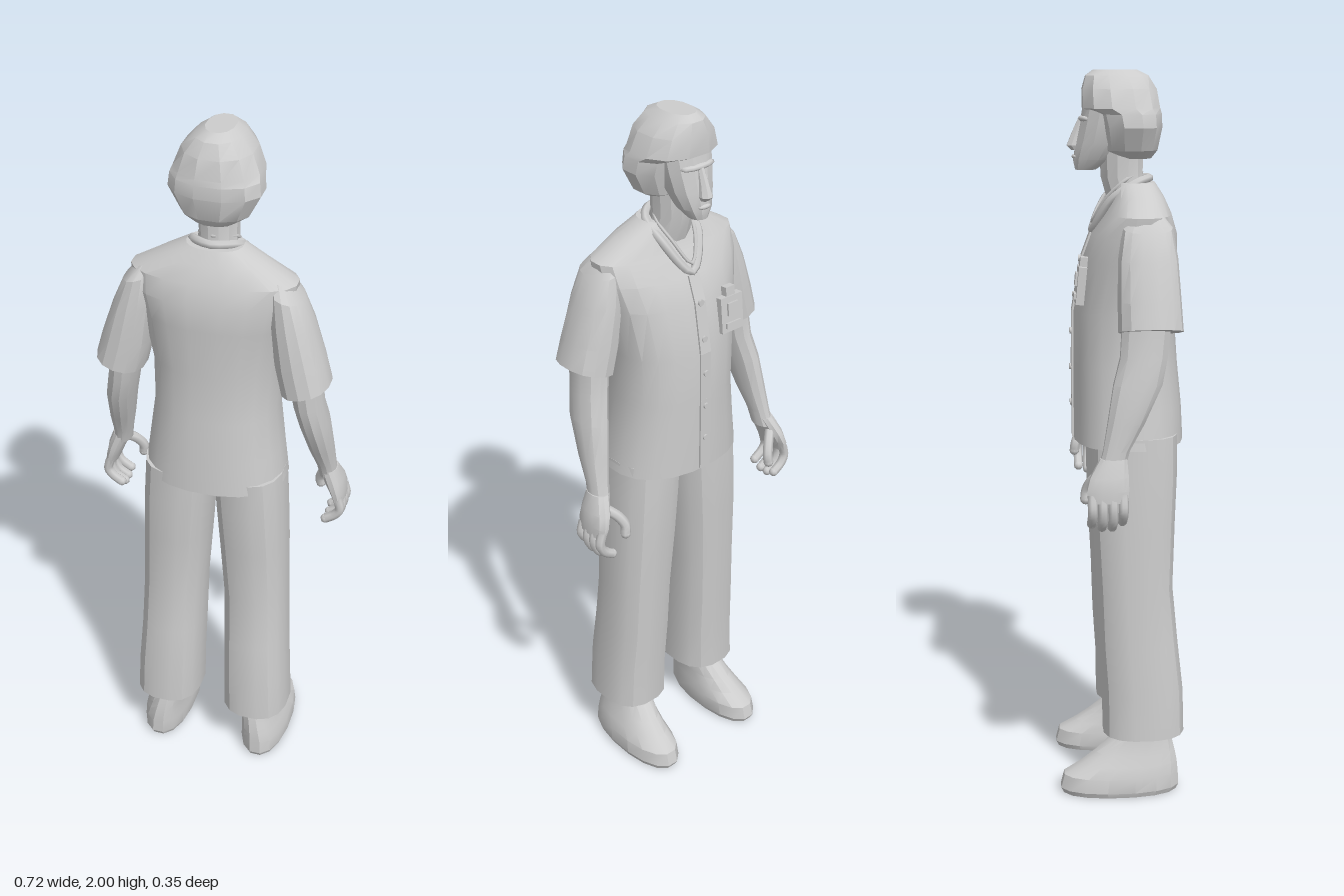
import * as THREE from 'three';
import { toCreasedNormals } from 'three/addons/utils/BufferGeometryUtils.js';

// Skin through stacked oval sections [x, y, z, rx, rz, tilt], listed bottom to top.
function loft(sections, n = 16, p = 2.3) {
  const pos = [], idx = [];
  const bend = v => Math.sign(v) * Math.pow(Math.abs(v), 2 / p);
  for (const [x, y, z, rx, rz, tilt = 0] of sections) {
    for (let i = 0; i < n; i++) {
      const t = (i + 0.5) / n * Math.PI * 2;
      const dx = rx * bend(Math.cos(t));
      pos.push(x + dx, y + tilt * dx, z + rz * bend(Math.sin(t)));
    }
  }
  const last = sections.length - 1;
  for (let r = 0; r < last; r++) {
    for (let i = 0; i < n; i++) {
      const a = r * n + i, b = r * n + (i + 1) % n;
      idx.push(a, a + n, b, b, a + n, b + n);
    }
  }
  // end caps
  const bottom = pos.length / 3, top = bottom + 1;
  pos.push(...sections[0].slice(0, 3), ...sections[last].slice(0, 3));
  for (let i = 0; i < n; i++) {
    const j = (i + 1) % n;
    idx.push(bottom, i, j, top, last * n + j, last * n + i);
  }
  const g = new THREE.BufferGeometry();
  g.setAttribute('position', new THREE.Float32BufferAttribute(pos, 3));
  g.setIndex(idx);
  return toCreasedNormals(g, 0.45);
}

function tube(points, r, closed = false, steps = 12, sides = 7) {
  const curve = new THREE.CatmullRomCurve3(points.map(q => new THREE.Vector3(...q)), closed);
  return new THREE.TubeGeometry(curve, steps, r, sides, closed);
}

export function createModel() {
  const root = new THREE.Group();
  root.name = 'standingPerson';
  const grey = new THREE.MeshStandardMaterial({ color: 0xcccccc });
  grey.name = 'plainGrey';
  const add = (name, geometry, x = 0, y = 0, z = 0, parent = root) => {
    const m = new THREE.Mesh(geometry, grey);
    m.name = name;
    m.position.set(x, y, z);
    parent.add(m);
    return m;
  };

  // Short-sleeved shirt
  add('shirt', loft([
    [0, 1.0, 0.027, 0.2, 0.152],
    [0, 1.1, 0.024, 0.187, 0.15],
    [0, 1.22, 0.018, 0.172, 0.144],
    [0, 1.36, 0.014, 0.176, 0.138],
    [0, 1.5, 0.03, 0.2, 0.13],
    [0, 1.57, 0.042, 0.218, 0.116],
    [0, 1.625, 0.052, 0.222, 0.09],
    [0, 1.67, 0.052, 0.145, 0.07],
    [0, 1.705, 0.045, 0.075, 0.055],
  ], 20, 2.3));

  // Front placket follows the chest, with buttons
  const front = [[1.005, -0.125], [1.22, -0.126], [1.36, -0.124], [1.5, -0.1], [1.57, -0.074]];
  for (let i = 0; i < front.length - 1; i++) {
    const [y0, z0] = front[i], [y1, z1] = front[i + 1];
    const strip = add('placket', new THREE.BoxGeometry(0.035, Math.hypot(y1 - y0, z1 - z0), 0.008),
      0, (y0 + y1) / 2, (z0 + z1) / 2);
    strip.rotation.x = Math.atan2(z1 - z0, y1 - y0);
  }
  for (const [y, z] of [[1.1, -0.13], [1.2, -0.131], [1.3, -0.13], [1.4, -0.121], [1.5, -0.105]]) {
    add('button', new THREE.CylinderGeometry(0.009, 0.009, 0.008, 10), 0, y, z).rotation.x = Math.PI / 2;
  }

  // Collar and necklace
  add('collar', tube([[0, 1.715, 0.085], [0.06, 1.705, 0.045], [0.062, 1.665, -0.02],
    [0, 1.575, -0.07], [-0.062, 1.665, -0.02], [-0.06, 1.705, 0.045]], 0.012, true, 28, 6));
  add('necklace', tube([[0, 1.73, 0.065], [0.05, 1.715, 0.02], [0.04, 1.665, -0.035],
    [0, 1.6, -0.07], [-0.04, 1.665, -0.035], [-0.05, 1.715, 0.02]], 0.005, true, 28, 5));

  // Name badge hung on the chest
  const badge = new THREE.Group();
  badge.name = 'badge';
  badge.position.set(-0.1, 1.44, -0.108);
  badge.rotation.x = 0.1;
  root.add(badge);
  add('badgeCard', new THREE.BoxGeometry(0.075, 0.1, 0.022), 0, 0, 0, badge);
  add('badgeClip', new THREE.BoxGeometry(0.03, 0.03, 0.02), 0, 0.06, 0.002, badge);
  add('badgePicture', new THREE.BoxGeometry(0.035, 0.035, 0.008), 0, 0.015, -0.013, badge);
  add('badgeStrip', new THREE.BoxGeometry(0.05, 0.015, 0.008), 0, -0.03, -0.013, badge);

  // Neck, face and features
  add('neck', loft([
    [0, 1.64, 0.03, 0.06, 0.055],
    [0, 1.72, 0.01, 0.052, 0.058],
    [0, 1.82, 0.01, 0.055, 0.06],
  ], 12, 2));
  add('face', loft([
    [0, 1.738, -0.088, 0.024, 0.028],
    [0, 1.765, -0.07, 0.043, 0.052],
    [0, 1.81, -0.05, 0.06, 0.064],
    [0, 1.86, -0.04, 0.07, 0.063],
    [0, 1.91, -0.03, 0.075, 0.064],
  ], 12, 2.2));
  add('nose', loft([
    [0, 1.79, -0.112, 0.014, 0.014],
    [0, 1.802, -0.118, 0.019, 0.021],
    [0, 1.83, -0.108, 0.013, 0.02],
    [0, 1.872, -0.096, 0.009, 0.012],
  ], 8, 2));
  add('mouth', new THREE.SphereGeometry(1, 10, 6), 0, 1.773, -0.115).scale.set(0.021, 0.007, 0.01);
  add('brow', new THREE.SphereGeometry(1, 12, 6), 0, 1.873, -0.087).scale.set(0.055, 0.01, 0.02);

  // Hair: short bob with a fringe
  add('hair', loft([
    [0, 1.768, 0.045, 0.055, 0.045],
    [0, 1.79, 0.033, 0.092, 0.074],
    [0, 1.85, 0.033, 0.124, 0.086],
    [0, 1.885, 0.028, 0.12, 0.09],
    [0, 1.9, 0.008, 0.115, 0.106],
    [0, 1.95, 0.003, 0.095, 0.102],
    [0, 1.985, -0.003, 0.062, 0.086],
    [0, 2.0, -0.008, 0.038, 0.06],
  ], 12, 2.2));

  for (const s of [1, -1]) {
    const side = s > 0 ? 'left' : 'right';
    const mirror = list => list.map(([x, y, z, rx, rz, tilt = 0]) => [x * s, y, z, rx, rz, tilt * s]);
    const path = list => list.map(([x, y, z]) => [x * s, y, z]);

    // Sleeve, forearm and palm
    add(side + 'Sleeve', loft(mirror([
      [0.254, 1.335, 0.066, 0.066, 0.086, 0.25],
      [0.235, 1.41, 0.064, 0.067, 0.084, 0.1],
      [0.212, 1.52, 0.062, 0.057, 0.079, -0.1],
      [0.195, 1.6, 0.062, 0.043, 0.066, -0.3],
      [0.18, 1.635, 0.06, 0.025, 0.04, -0.4],
    ]), 14, 2.2));
    add(side + 'Arm', loft(mirror([
      [0.303, 0.985, -0.04, 0.026, 0.036],
      [0.297, 1.03, -0.028, 0.028, 0.036],
      [0.287, 1.1, -0.002, 0.035, 0.05],
      [0.273, 1.2, 0.03, 0.041, 0.066],
      [0.258, 1.27, 0.047, 0.042, 0.064],
      [0.246, 1.36, 0.055, 0.045, 0.066],
    ]), 12, 2));
    add(side + 'Palm', loft(mirror([
      [0.338, 0.9, -0.053, 0.015, 0.052],
      [0.332, 0.93, -0.053, 0.021, 0.057],
      [0.32, 0.965, -0.048, 0.026, 0.052],
      [0.303, 1.01, -0.036, 0.026, 0.036],
    ]), 12, 2.2));

    // Curled fingers and thumb
    for (let i = 0; i < 4; i++) {
      const z = -0.013 - i * 0.027, drop = [0.015, 0, 0, 0.01][i];
      const tip = [0.305, 0.825 + drop, z];
      add(side + 'Finger', tube(path([[0.336, 0.92, z], [0.345, 0.88, z],
        [0.333, 0.845 + drop, z], tip]), 0.0135));
      add(side + 'Fingertip', new THREE.SphereGeometry(0.0135, 8, 6), tip[0] * s, tip[1], tip[2]);
    }
    add(side + 'Thumb', tube(path([[0.312, 0.975, -0.065], [0.28, 0.945, -0.092],
      [0.266, 0.915, -0.105], [0.268, 0.892, -0.108]]), 0.0145));
    add(side + 'ThumbTip', new THREE.SphereGeometry(0.0145, 8, 6), 0.268 * s, 0.892, -0.108);

    // Wide trouser leg
    add(side + 'TrouserLeg', loft(mirror([
      [0.137, 0.175, 0.06, 0.098, 0.115],
      [0.133, 0.3, 0.058, 0.096, 0.114],
      [0.127, 0.44, 0.046, 0.093, 0.111],
      [0.122, 0.6, 0.036, 0.092, 0.106],
      [0.113, 0.78, 0.034, 0.096, 0.114],
      [0.105, 0.92, 0.035, 0.098, 0.119],
      [0.098, 1.03, 0.035, 0.098, 0.119],
    ]), 16, 2.5));

    // Shoe with ankle
    add(side + 'Shoe', loft(mirror([
      [0.157, 0, -0.008, 0.066, 0.162],
      [0.157, 0.015, -0.008, 0.072, 0.17],
      [0.156, 0.055, -0.004, 0.07, 0.164],
      [0.152, 0.085, 0.02, 0.062, 0.137],
      [0.147, 0.115, 0.038, 0.055, 0.113],
      [0.138, 0.16, 0.058, 0.05, 0.082],
      [0.136, 0.23, 0.065, 0.048, 0.06],
    ]), 16, 2.2));
  }
  return root;
}
